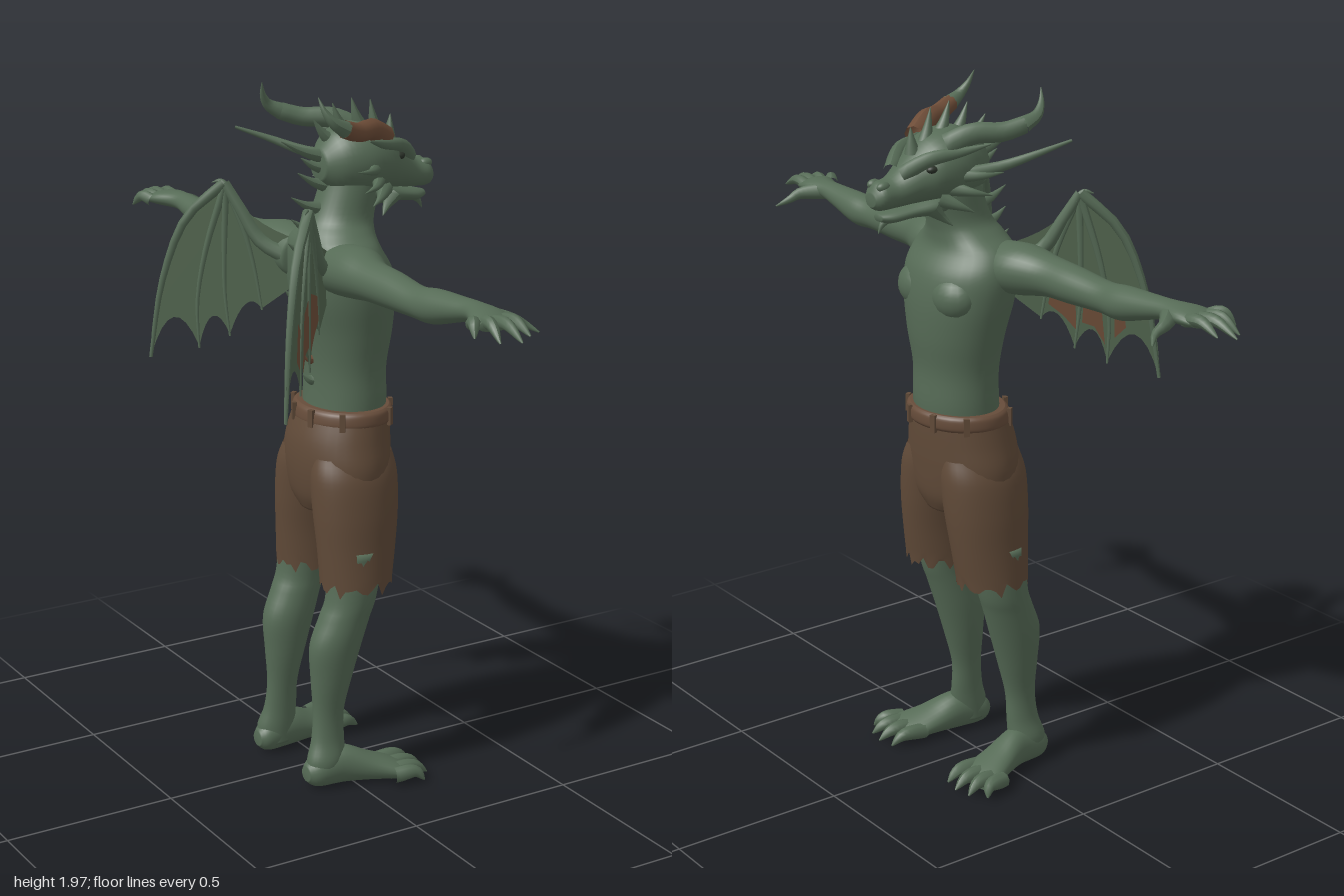
import * as THREE from 'three';

const mat = (name, color, side = THREE.FrontSide) => {
  const m = new THREE.MeshStandardMaterial({ color, side });
  m.name = name;
  return m;
};

// Catmull-Rom blend of one number
const blend = (a, b, c, d, t) =>
  0.5 * (2 * b + (c - a) * t + (2 * a - 5 * b + 4 * c - d) * t * t + (3 * b - a - 3 * c + d) * t * t * t);

// Smooth skin over elliptical sections. axis 'y': [y, x, z, rx, rz]; 'x': [x, y, z, ry, rz]; 'z': [z, x, y, rx, ry]
function loft(axis, sections, { sides = 28, steps = 5, caps = true, edge = null } = {}) {
  const rings = [];
  const last = sections.length - 1;
  for (let i = 0; i < last; i++) {
    for (let k = 0; k < steps; k++) {
      const [a, b, c, d] = [i - 1, i, i + 1, i + 2].map((n) => sections[Math.min(last, Math.max(0, n))]);
      rings.push(b.map((_, n) => blend(a[n], b[n], c[n], d[n], k / steps)));
    }
  }
  rings.push(sections[last]);
  const put = (s, p, q) => (axis === 'y' ? [p, s, q] : axis === 'x' ? [s, p, q] : [p, q, s]);
  const pos = [], idx = [];
  rings.forEach(([s, p, q, rp, rq], i) => {
    for (let j = 0; j < sides; j++) {
      const t = (j / sides) * Math.PI * 2 * (axis === 'y' ? -1 : 1);
      const lift = edge && i === 0 ? edge(j) : 0;
      pos.push(...put(s + lift, p + rp * Math.cos(t), q + rq * Math.sin(t)));
      if (i < rings.length - 1) {
        const a = i * sides + j, b = i * sides + ((j + 1) % sides);
        idx.push(a, b, b + sides, a, b + sides, a + sides);
      }
    }
  });
  if (caps) {
    const n = pos.length / 3, top = (rings.length - 1) * sides;
    pos.push(...put(...rings[0].slice(0, 3)), ...put(...rings[rings.length - 1].slice(0, 3)));
    for (let j = 0; j < sides; j++) {
      const k = (j + 1) % sides;
      idx.push(n, k, j, n + 1, top + j, top + k);
    }
  }
  const g = new THREE.BufferGeometry();
  g.setAttribute('position', new THREE.Float32BufferAttribute(pos, 3));
  g.setIndex(idx);
  g.computeVertexNormals();
  return g;
}

// Tube along points whose radius runs from r0 to r1
function taper(points, r0, r1 = 0.001, power = 1, sides = 9) {
  const curve = new THREE.CatmullRomCurve3(points.map((p) => new THREE.Vector3(...p)));
  const n = 10;
  const g = new THREE.TubeGeometry(curve, n, 1, sides);
  const p = g.attributes.position, v = new THREE.Vector3();
  for (let i = 0; i < p.count; i++) {
    const u = Math.floor(i / (sides + 1)) / n, c = curve.getPointAt(u);
    v.fromBufferAttribute(p, i).sub(c).multiplyScalar(r0 + (r1 - r0) * Math.pow(u, power)).add(c);
    p.setXYZ(i, v.x, v.y, v.z);
  }
  g.computeVertexNormals();
  return g;
}

const ellipsoid = (x, y, z, a, b, c) => new THREE.SphereGeometry(1, 20, 14).scale(a, b, c).translate(x, y, z);

// Copy on the other side of the body, with faces turned to stay outward
function mirror(geometry) {
  const g = geometry.clone().scale(1, 1, -1), a = g.index.array;
  for (let i = 0; i < a.length; i += 3) [a[i], a[i + 1]] = [a[i + 1], a[i]];
  g.computeVertexNormals();
  return g;
}

// Wing sheet: outline in (span, height), laid on the swept-back diagonal
function wingSheet(shape, off = 0) {
  const g = new THREE.ShapeGeometry(shape, 8), p = g.attributes.position;
  for (let i = 0; i < p.count; i++) p.setXYZ(i, ...onWing(p.getX(i), p.getY(i), off));
  g.computeVertexNormals();
  return g;
}
const onWing = (u, y, off = 0) => [-0.1 - 0.24 * u + off, y, 0.15 + 0.23 * u + off];

export function createModel() {
  const model = new THREE.Group();
  const skin = mat('green skin', 0x566b56);
  const membraneMat = mat('wing green', 0x52664f, THREE.DoubleSide);
  const cloth = mat('brown cloth', 0x604a38, THREE.DoubleSide);
  const band = mat('waistband brown', 0x664c3a);
  const rust = mat('rust brown', 0x6e4d38, THREE.DoubleSide);
  const dark = mat('dark eye', 0x2b3229);

  const add = (name, g, m = skin) => {
    const mesh = new THREE.Mesh(g, m);
    mesh.name = name;
    model.add(mesh);
  };
  const pair = (name, g, m = skin) => {
    add(name + 'Left', mirror(g), m);
    add(name + 'Right', g, m);
  };

  // Torso and neck
  add('torso', loft('y', [
    [1.0, 0.06, 0, 0.11, 0.13], [1.1, 0.07, 0, 0.11, 0.135], [1.2, 0.07, 0, 0.108, 0.137],
    [1.3, 0.07, 0, 0.12, 0.158], [1.4, 0.06, 0, 0.132, 0.182], [1.48, 0.05, 0, 0.128, 0.19],
    [1.54, 0.035, 0, 0.11, 0.17], [1.58, 0.042, 0, 0.1, 0.12], [1.62, 0.06, 0, 0.09, 0.087],
    [1.7, 0.085, 0, 0.085, 0.08], [1.78, 0.09, 0, 0.07, 0.07]], { sides: 36 }));
  pair('chestMuscle', ellipsoid(0.128, 1.42, 0.075, 0.06, 0.065, 0.08));

  // Arms, fingers and thumbs
  pair('arm', loft('z', [
    [0.08, 0, 1.49, 0.075, 0.07], [0.2, -0.008, 1.502, 0.08, 0.07], [0.3, -0.024, 1.502, 0.058, 0.055],
    [0.4, -0.026, 1.5, 0.052, 0.05], [0.52, -0.03, 1.496, 0.045, 0.042], [0.6, -0.026, 1.5, 0.047, 0.046],
    [0.7, -0.025, 1.515, 0.038, 0.034], [0.77, -0.025, 1.525, 0.034, 0.026],
    [0.84, -0.035, 1.525, 0.053, 0.024], [0.89, -0.045, 1.52, 0.053, 0.016]]));
  [[-0.088, -0.122, 0.91, 1.5], [-0.062, -0.085, 0.965, 1.495], [-0.036, -0.045, 1.0, 1.5], [-0.008, -0.004, 0.975, 1.505]]
    .forEach(([x0, x1, z1, y1]) => pair('finger', taper(
      [[x0, 1.52, 0.85], [(x0 + x1) / 2, 1.53, (0.85 + z1) / 2], [x1, y1, z1]], 0.018, 0.002, 2.5)));
  pair('thumb', taper([[-0.02, 1.52, 0.78], [0.04, 1.51, 0.83], [0.075, 1.495, 0.835], [0.105, 1.475, 0.86]], 0.025, 0.002, 1.5));

  // Legs, feet and toes
  pair('leg', loft('y', [
    [0.03, -0.08, 0.14, 0.05, 0.04], [0.08, -0.075, 0.143, 0.058, 0.044], [0.14, -0.065, 0.135, 0.05, 0.036],
    [0.22, -0.06, 0.13, 0.047, 0.036], [0.32, -0.05, 0.13, 0.062, 0.05], [0.42, -0.037, 0.132, 0.078, 0.062],
    [0.5, -0.01, 0.135, 0.075, 0.065], [0.56, 0.01, 0.137, 0.074, 0.068], [0.7, 0.03, 0.13, 0.083, 0.078]]));
  pair('foot', loft('x', [
    [-0.14, 0.045, 0.14, 0.022, 0.022], [-0.11, 0.048, 0.142, 0.045, 0.042], [-0.03, 0.058, 0.15, 0.057, 0.047],
    [0.05, 0.042, 0.17, 0.041, 0.06], [0.12, 0.028, 0.19, 0.027, 0.073], [0.15, 0.022, 0.195, 0.016, 0.065]]));
  [[0.135, 0.205, 0.14], [0.18, 0.215, 0.19], [0.22, 0.205, 0.24], [0.25, 0.17, 0.283]].forEach(([z0, x1, z1]) =>
    pair('toe', taper([[0.09, 0.03, z0], [(0.09 + x1) / 2 + 0.02, 0.034, (z0 + z1) / 2], [x1, 0.01, z1]], 0.023, 0.002, 3)));

  // Ragged shorts
  add('shortsHips', loft('y', [
    [0.79, 0.045, 0, 0.105, 0.1], [0.84, 0.045, 0, 0.125, 0.17], [0.92, 0.045, 0, 0.135, 0.187],
    [1.0, 0.05, 0, 0.135, 0.172], [1.08, 0.063, 0, 0.123, 0.154]], { sides: 36 }), cloth);
  pair('shortsLeg', loft('y', [
    [0.595, 0.035, 0.122, 0.105, 0.092], [0.7, 0.04, 0.115, 0.117, 0.092], [0.8, 0.043, 0.105, 0.127, 0.097],
    [0.9, 0.045, 0.092, 0.13, 0.096], [0.96, 0.047, 0.08, 0.12, 0.08]],
  { sides: 40, caps: false, edge: (j) => ((j % 4) - 2) * 0.009 + 0.008 * Math.sin(j * 2.3) }), cloth);
  add('waistband', loft('y', [
    [1.045, 0.06, 0, 0.127, 0.157], [1.055, 0.062, 0, 0.132, 0.163], [1.08, 0.064, 0, 0.13, 0.16], [1.09, 0.065, 0, 0.12, 0.15]],
  { sides: 36 }), band);
  for (const a of [0.35, 1.0, 2.2, 2.85]) {
    pair('beltLoop', new THREE.BoxGeometry(0.012, 0.05, 0.016).rotateY(-a)
      .translate(0.062 + 0.133 * Math.cos(a), 1.065, 0.163 * Math.sin(a)), cloth);
  }

  // Head, jaw and face
  add('head', loft('x', [
    [-0.015, 1.76, 0, 0.04, 0.04], [0.03, 1.77, 0, 0.085, 0.085], [0.1, 1.772, 0, 0.1, 0.108],
    [0.17, 1.765, 0, 0.088, 0.1], [0.22, 1.743, 0, 0.066, 0.073], [0.28, 1.716, 0, 0.043, 0.05],
    [0.325, 1.71, 0, 0.038, 0.044], [0.345, 1.702, 0, 0.018, 0.022]]));
  add('jaw', loft('x', [
    [0.07, 1.69, 0, 0.03, 0.06], [0.16, 1.672, 0, 0.032, 0.072], [0.23, 1.662, 0, 0.022, 0.053],
    [0.29, 1.652, 0, 0.018, 0.038], [0.322, 1.652, 0, 0.01, 0.018]]));
  add('chinSpike', taper([[0.29, 1.65, 0], [0.31, 1.63, 0], [0.322, 1.608, 0]], 0.016));
  pair('nostrilRidge', ellipsoid(0.318, 1.738, 0.022, 0.02, 0.014, 0.014));
  pair('eye', ellipsoid(0.197, 1.778, 0.074, 0.018, 0.011, 0.014), dark);
  pair('brow', taper([[0.26, 1.765, 0.025], [0.205, 1.805, 0.07], [0.13, 1.82, 0.105], [0.06, 1.84, 0.145]], 0.022, 0.002, 2));
  [[0.13, 1.75, 0.02, 1.76, 0.15], [0.14, 1.72, 0.05, 1.7, 0.14], [0.16, 1.69, 0.09, 1.655, 0.115], [0.19, 1.67, 0.14, 1.62, 0.085]]
    .forEach(([x, y, x1, y1, z1]) => pair('cheekSpike', taper(
      [[x, y, 0.06], [(x + x1) / 2, (y + y1) / 2, z1 - 0.018], [x1, y1, z1]], 0.024)));

  // Horns: the left one has a rust-coloured base
  const hornBase = taper([[0.15, 1.835, 0.07], [0.09, 1.865, 0.105], [0.02, 1.868, 0.145], [-0.035, 1.885, 0.168]], 0.032, 0.024);
  const hornTip = taper([[-0.03, 1.883, 0.167], [-0.07, 1.905, 0.173], [-0.092, 1.935, 0.163], [-0.103, 1.972, 0.148]], 0.024);
  add('hornBaseLeft', hornBase, rust);
  add('hornBaseRight', mirror(hornBase));
  pair('hornTip', hornTip);

  // Single long ear
  add('ear', taper([[0.1, 1.755, -0.09], [0.02, 1.775, -0.14], [-0.05, 1.805, -0.19], [-0.14, 1.84, -0.235]], 0.02, 0.004));

  // Crest and back spines: [base x, base y, tip x, tip y]
  [[0.21, 1.82, 0.215, 1.88], [0.17, 1.84, 0.15, 1.925], [0.12, 1.86, 0.09, 1.935], [0.07, 1.85, 0.03, 1.925],
    [0.03, 1.83, -0.03, 1.885], [0.01, 1.79, -0.13, 1.835], [0.01, 1.76, -0.07, 1.785], [0.02, 1.71, -0.08, 1.745],
    [0, 1.65, -0.1, 1.68], [-0.02, 1.59, -0.1, 1.62], [-0.04, 1.53, -0.11, 1.555], [-0.06, 1.4, -0.12, 1.425],
    [-0.04, 1.35, -0.11, 1.37], [-0.03, 1.29, -0.09, 1.31], [-0.02, 1.23, -0.07, 1.245], [-0.02, 1.17, -0.065, 1.18]]
    .forEach(([x, y, x1, y1], i) => add('spine', taper(
      [[x, y - 0.01, 0], [(x + x1) / 2, (y + y1) / 2 - 0.012, 0], [x1, y1, 0]], 0.022), i === 14 ? rust : skin));

  // Wings: membrane, bones and worn patches
  const sheet = new THREE.Shape();
  sheet.moveTo(-0.3, 1.54);
  sheet.quadraticCurveTo(0.15, 1.58, 0.33, 1.69);
  sheet.quadraticCurveTo(0.72, 1.6, 0.88, 1.41);
  sheet.quadraticCurveTo(1.0, 1.3, 1.0, 1.18);
  sheet.quadraticCurveTo(0.8, 1.4, 0.57, 1.22);
  sheet.quadraticCurveTo(0.46, 1.38, 0.3, 1.26);
  sheet.quadraticCurveTo(0.16, 1.4, 0.02, 1.34);
  sheet.lineTo(-0.3, 1.42);
  pair('wingMembrane', wingSheet(sheet), membraneMat);
  const bone = (pts, r0, r1) => pair('wingBone', taper(pts.map(([u, y]) => onWing(u, y)), r0, r1));
  bone([[-0.3, 1.48], [0.02, 1.53], [0.2, 1.62], [0.33, 1.69]], 0.024, 0.014);
  bone([[0.33, 1.69], [0.66, 1.59], [0.88, 1.41], [1, 1.18]], 0.016, 0.005);
  bone([[0.33, 1.68], [0.5, 1.5], [0.58, 1.35], [0.57, 1.215]], 0.012, 0.003);
  bone([[0.32, 1.68], [0.34, 1.5], [0.34, 1.38], [0.3, 1.255]], 0.011, 0.003);
  bone([[0.3, 1.67], [0.16, 1.55], [0.08, 1.45], [0.02, 1.335]], 0.011, 0.003);
  pair('wingClaw', taper([onWing(0.3, 1.67), onWing(0.36, 1.695), onWing(0.44, 1.69)], 0.014));
  [[[0.38, 1.46], [0.5, 1.43], [0.55, 1.27], [0.46, 1.32], [0.36, 1.33]],
    [[0.12, 1.45], [0.3, 1.47], [0.31, 1.31], [0.2, 1.35], [0.08, 1.38]],
    [[0.62, 1.4], [0.68, 1.42], [0.72, 1.32], [0.63, 1.29]]].forEach((pts) =>
    pair('wingPatch', wingSheet(new THREE.Shape(pts.map((p) => new THREE.Vector2(...p))), 0.003), rust));

  return model;
}
